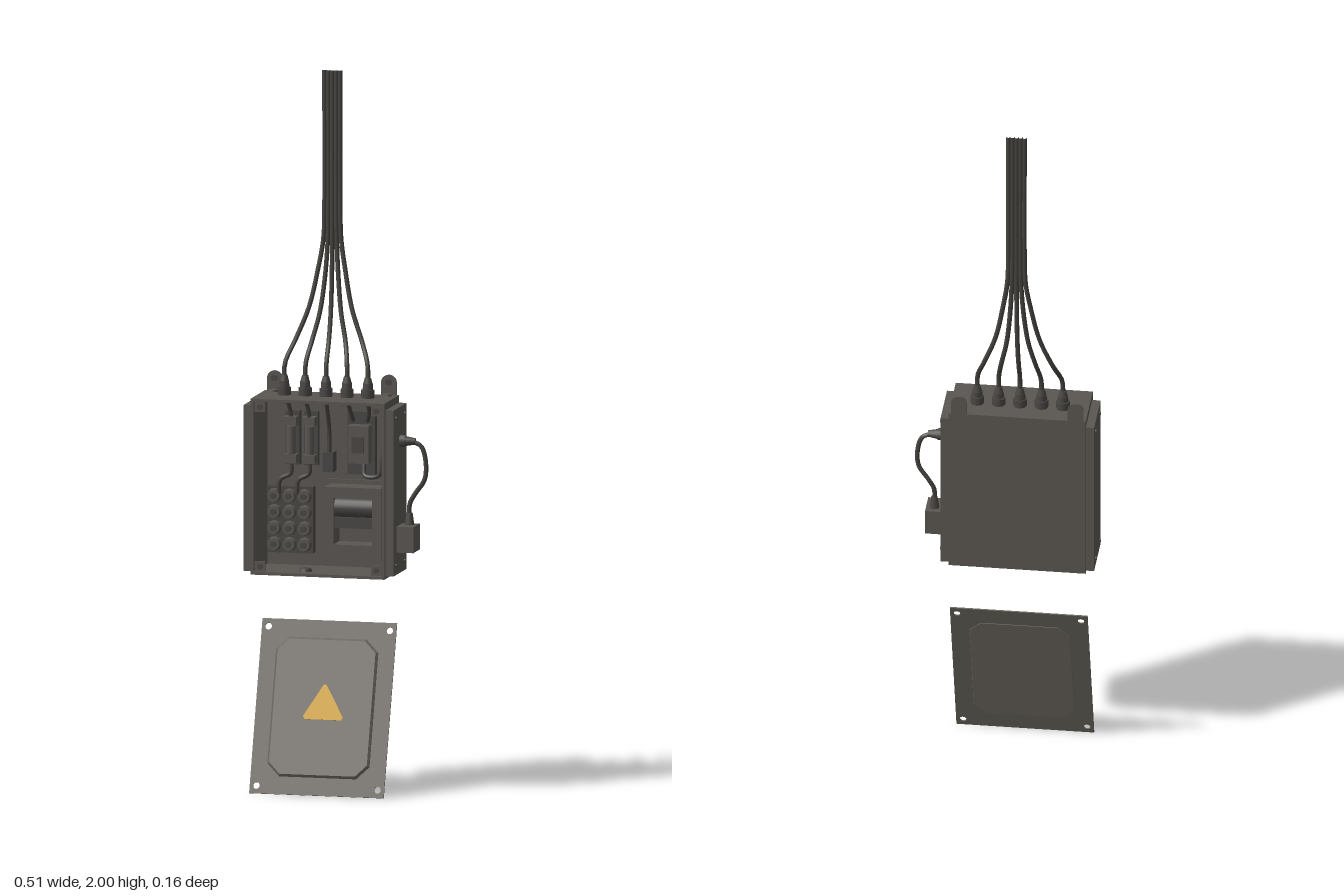
import * as THREE from 'three';

const mat = (name, color) => Object.assign(new THREE.MeshStandardMaterial({ color }), { name });
const steel = mat('box steel', 0x5a5651);
const lidSteel = mat('lid steel', 0x66625a);
const panelSteel = mat('lid panel', 0x6c6660);
const dark = mat('component dark', 0x4a4744);
const rubber = mat('cable rubber', 0x46433f);
const yellow = mat('warning yellow', 0xd8a520);

const CX = -0.04; // centre of the enclosure in x

export function createModel() {
  const root = new THREE.Group();
  root.name = 'junctionBox';

  const add = (parent, name, geo, material, x = 0, y = 0, z = 0) => {
    const m = new THREE.Mesh(geo, material);
    m.name = name;
    m.position.set(x, y, z);
    parent.add(m);
    return m;
  };
  // box given by its limits
  const box = (parent, name, x0, x1, y0, y1, z0, z1, material) =>
    add(parent, name, new THREE.BoxGeometry(x1 - x0, y1 - y0, z1 - z0), material,
      (x0 + x1) / 2, (y0 + y1) / 2, (z0 + z1) / 2);
  const cyl = (parent, name, r0, r1, h, n, material, x, y, z, axis = 'y') => {
    const m = add(parent, name, new THREE.CylinderGeometry(r1, r0, h, n), material, x, y, z);
    if (axis === 'x') m.rotation.z = -Math.PI / 2;
    if (axis === 'z') m.rotation.x = Math.PI / 2;
    return m;
  };
  const tube = (parent, name, pts, r, segs = 32) =>
    add(parent, name, new THREE.TubeGeometry(
      new THREE.CatmullRomCurve3(pts.map(p => new THREE.Vector3(...p))), segs, r, 8), rubber);

  // Enclosure, open at the front
  const shell = new THREE.Group();
  shell.name = 'enclosure';
  root.add(shell);
  box(shell, 'backWall', -0.23, 0.15, 0.61, 1.1, -0.082, -0.074, steel);
  box(shell, 'topWall', -0.23, 0.15, 1.092, 1.1, -0.074, 0.08, steel);
  box(shell, 'floorWall', -0.23, 0.15, 0.61, 0.618, -0.074, 0.08, steel);
  for (const s of [-1, 1]) {
    const wx = CX + s * 0.186;
    box(shell, 'sideWall', wx - 0.004, wx + 0.004, 0.618, 1.092, -0.074, 0.08, steel);
    const px = CX + s * 0.2015;
    box(shell, 'sidePlate', px - 0.0115, px + 0.0115, 0.618, 1.08, -0.078, 0.068, steel);
    for (const y of [0.645, 1.055]) for (const z of [-0.052, 0.043])
      cyl(shell, 'plateScrew', 0.005, 0.005, 0.006, 8, dark, px + s * 0.0125, y, z, 'x');

    // corner tabs with screw bosses for the lid
    for (const v of [-1, 1]) {
      const cy = 0.855 + v * 0.222;
      box(shell, 'cornerTab', CX + s * 0.166 - 0.015, CX + s * 0.166 + 0.015,
        cy - 0.014, cy + 0.014, 0.068, 0.074, steel);
      cyl(shell, 'cornerBoss', 0.008, 0.008, 0.012, 10, dark, CX + s * 0.165, cy, 0.073, 'z');
    }

    // hanging lug with bolt, and screw head on the roof
    const lug = new THREE.Shape();
    lug.moveTo(-0.022, 0);
    lug.lineTo(0.022, 0);
    lug.lineTo(0.022, 0.034);
    lug.absarc(0, 0.034, 0.022, 0, Math.PI, false);
    lug.closePath();
    const lx = CX + s * 0.162;
    add(shell, 'hangingLug', new THREE.ExtrudeGeometry(lug, { depth: 0.005, bevelEnabled: false }),
      steel, lx, 1.1, -0.083);
    cyl(shell, 'lugBolt', 0.004, 0.004, 0.012, 8, dark, lx, 1.136, -0.077, 'z');
    cyl(shell, 'lugBoltHead', 0.009, 0.009, 0.004, 10, dark, lx, 1.136, -0.073, 'z');
    cyl(shell, 'roofScrew', 0.013, 0.012, 0.006, 16, steel, lx, 1.103, -0.06);
  }

  // Cable glands and the bundle that rises from them
  for (let i = -2; i <= 2; i++) {
    const gx = CX + i * 0.0595, gz = -0.015, tx = -0.037 + i * 0.0112;
    const gland = new THREE.Group();
    gland.name = 'cableGland';
    root.add(gland);
    cyl(gland, 'glandNut', 0.019, 0.019, 0.022, 8, dark, gx, 1.111, gz);
    cyl(gland, 'glandCollar', 0.015, 0.014, 0.018, 12, dark, gx, 1.131, gz);
    cyl(gland, 'glandCap', 0.013, 0.009, 0.016, 12, dark, gx, 1.148, gz);
    cyl(gland, 'innerNut', 0.016, 0.016, 0.014, 8, dark, gx, 1.085, gz);
    const mix = t => gx + (tx - gx) * t;
    const late = Math.abs(i) * 0.05;
    tube(root, 'risingCable', [
      [gx, 1.14, gz], [mix(0.02), 1.19, gz - 0.004], [mix(0.25), 1.25, gz - 0.028],
      [mix(0.6), 1.31 + late * 0.3, -0.057], [mix(0.84), 1.4 + late * 0.5, -0.068],
      [mix(0.97), 1.53, -0.073], [tx, 1.62, -0.073], [tx, 2, -0.073]], 0.0065, 48);
  }

  // Terminal block with three columns of four studs
  const terminals = new THREE.Group();
  terminals.name = 'terminalBlock';
  root.add(terminals);
  box(terminals, 'terminalBase', -0.215, -0.085, 0.655, 0.84, -0.074, -0.045, dark);
  for (let c = 0; c < 3; c++) for (let r = 0; r < 4; r++) {
    const x = -0.193 + c * 0.043, y = 0.68 + r * 0.045;
    cyl(terminals, 'terminalCup', 0.02, 0.017, 0.02, 10, steel, x, y, -0.036, 'z');
    cyl(terminals, 'terminalScrew', 0.009, 0.009, 0.008, 8, dark, x, y, -0.023, 'z');
  }

  // Pair of fuses on a rail, wired to the terminals
  box(root, 'topRail', -0.17, 0.1, 1.06, 1.078, -0.074, -0.05, steel);
  for (const x of [-0.145, -0.093]) {
    const fuse = new THREE.Group();
    fuse.name = 'fuse';
    root.add(fuse);
    box(fuse, 'fuseBase', x - 0.02, x + 0.02, 0.9, 1.05, -0.074, -0.055, dark);
    cyl(fuse, 'fuseBody', 0.013, 0.013, 0.08, 12, steel, x, 0.97, -0.038);
    for (const y of [0.92, 1.025])
      box(fuse, 'fuseClip', x - 0.018, x + 0.018, y - 0.012, y + 0.012, -0.056, -0.022, steel);
    tube(root, 'fuseFeed', [[x, 1.02, -0.035], [x, 1.05, -0.03], [x - 0.006, 1.09, -0.015]], 0.006, 12);
    tube(root, 'fuseWire', [[x, 0.92, -0.035], [x, 0.88, -0.035], [x - 0.03, 0.86, -0.035],
      [x - 0.035, 0.82, -0.035]], 0.006, 20);
  }

  // Small switch and relay
  box(root, 'smallSwitch', -0.055, -0.025, 0.885, 0.94, -0.074, -0.035, dark);
  tube(root, 'switchWire', [[-0.04, 0.94, -0.05], [-0.04, 1.0, -0.05], [-0.04, 1.09, -0.015]], 0.006, 16);
  box(root, 'relayBase', 0.012, 0.09, 0.88, 1.055, -0.074, -0.05, dark);
  box(root, 'relayBody', 0.022, 0.08, 0.915, 1.02, -0.05, -0.015, steel);
  box(root, 'relayWindow', 0.034, 0.068, 0.945, 0.99, -0.015, -0.009, dark);
  tube(root, 'relayFeedLeft', [[0.03, 1.03, -0.045], [0.025, 1.06, -0.03], [0.02, 1.09, -0.015]], 0.006, 12);
  tube(root, 'relayFeedRight', [[0.07, 1.03, -0.045], [0.078, 1.06, -0.03], [0.079, 1.09, -0.015]], 0.006, 12);
  tube(root, 'outletWire', [[0.06, 0.91, -0.045], [0.065, 0.88, -0.035], [0.11, 0.885, -0.02],
    [0.125, 0.95, -0.01], [0.15, 0.985, -0.008]], 0.006, 24);

  // Transformer: frame, coil and top step
  const trafo = new THREE.Group();
  trafo.name = 'transformer';
  root.add(trafo);
  box(trafo, 'mountPlate', -0.055, 0.135, 0.632, 0.862, -0.074, -0.066, steel);
  box(trafo, 'frameTop', -0.04, 0.12, 0.82, 0.85, -0.066, 0.0, steel);
  box(trafo, 'frameBottom', -0.04, 0.12, 0.65, 0.69, -0.066, 0.0, steel);
  for (const x of [-0.04, 0.095])
    box(trafo, 'frameSide', x, x + 0.025, 0.69, 0.82, -0.066, 0.0, steel);
  box(trafo, 'coreBar', -0.015, 0.095, 0.735, 0.765, -0.066, -0.01, dark);
  const coil = cyl(trafo, 'coil', 0.028, 0.028, 0.11, 16, dark, 0.04, 0.79, -0.03, 'x');
  coil.scale.z = 0.9;

  // Grommet in the floor
  cyl(root, 'floorGrommet', 0.018, 0.015, 0.01, 16, dark, -0.085, 0.622, 0.035);

  // Side outlet: connector, looping cable and plug box
  const outlet = new THREE.Group();
  outlet.name = 'sideOutlet';
  root.add(outlet);
  const oz = -0.008;
  cyl(outlet, 'connectorNut', 0.017, 0.017, 0.016, 8, dark, 0.18, 0.985, oz, 'x');
  cyl(outlet, 'connectorSleeve', 0.014, 0.009, 0.028, 12, dark, 0.202, 0.985, oz, 'x');
  tube(outlet, 'loopCable', [[0.205, 0.985, oz], [0.232, 0.972, oz], [0.245, 0.93, oz], [0.242, 0.88, oz],
    [0.215, 0.84, oz - 0.004], [0.199, 0.81, oz - 0.004], [0.198, 0.765, oz - 0.004]], 0.0065, 40);
  cyl(outlet, 'plugSleeve', 0.014, 0.009, 0.035, 12, dark, 0.198, 0.767, oz - 0.004);
  box(outlet, 'plugBox', 0.173, 0.221, 0.68, 0.752, -0.038, 0.036, steel);

  // Loose lid, leaning back, with corner holes
  const lid = new THREE.Group();
  lid.name = 'lid';
  lid.position.set(-0.043, 0.2335, 0.005);
  lid.rotation.x = -0.312;
  root.add(lid);
  const W = 0.191, H = 0.2445;
  const plate = new THREE.Shape([[-W, -H], [W, -H], [W, H], [-W, H]].map(p => new THREE.Vector2(...p)));
  for (const sx of [-1, 1]) for (const sy of [-1, 1]) {
    const hole = new THREE.Path();
    hole.absarc(sx * (W - 0.019), sy * (H - 0.022), 0.0095, 0, Math.PI * 2, true);
    plate.holes.push(hole);
  }
  add(lid, 'lidPlate', new THREE.ExtrudeGeometry(plate, { depth: 0.004, bevelEnabled: false, curveSegments: 8 }),
    lidSteel, 0, 0, -0.002);

  // Raised panel with cut corners
  const w = 0.139, h = 0.189, c = 0.032;
  const panel = new THREE.Shape([[-w + c, -h], [w - c, -h], [w, -h + c], [w, h - c], [w - c, h],
    [-w + c, h], [-w, h - c], [-w, -h + c]].map(p => new THREE.Vector2(...p)));
  add(lid, 'raisedPanel', new THREE.ExtrudeGeometry(panel,
    { depth: 0.002, bevelThickness: 0.006, bevelSize: 0.006, bevelSegments: 1 }), panelSteel, 0, 0, 0.003);

  // Warning triangle with clipped corners
  const tri = new THREE.Shape([[-0.05, -0.034], [0.054, -0.034], [0.058, -0.026], [0.005, 0.064],
    [-0.003, 0.064], [-0.056, -0.026]].map(p => new THREE.Vector2(...p)));
  add(lid, 'warningTriangle', new THREE.ExtrudeGeometry(tri, { depth: 0.002, bevelEnabled: false }),
    yellow, 0.003, 0, 0.0105);

  return root;
}
